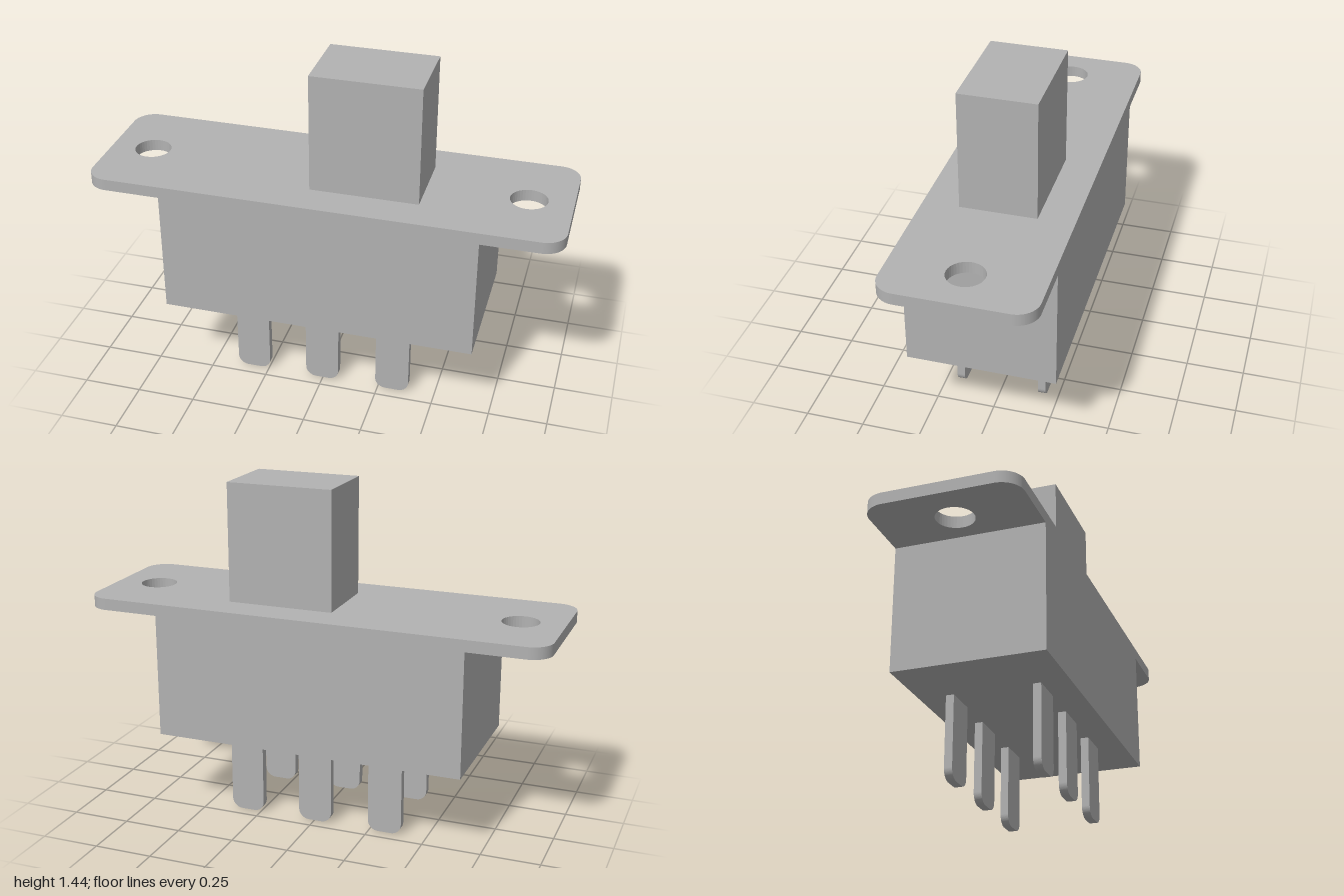
import * as THREE from 'three';

const grey = new THREE.MeshStandardMaterial({ color: 0xb2b2b2 });
grey.name = 'plain grey';

// Box given by its lower and upper limits on each axis
function block(name, [x0, x1], [y0, y1], [z0, z1]) {
  const mesh = new THREE.Mesh(new THREE.BoxGeometry(x1 - x0, y1 - y0, z1 - z0), grey);
  mesh.position.set((x0 + x1) / 2, (y0 + y1) / 2, (z0 + z1) / 2);
  mesh.name = name;
  return mesh;
}

// Mounting plate with rounded corners and two screw holes
function mountingPlate() {
  const w = 1, d = 0.313, r = 0.09, thickness = 0.05;
  const shape = new THREE.Shape();
  shape.absarc(w - r, d - r, r, 0, Math.PI / 2);
  shape.absarc(-w + r, d - r, r, Math.PI / 2, Math.PI);
  shape.absarc(-w + r, -d + r, r, Math.PI, Math.PI * 1.5);
  shape.absarc(w - r, -d + r, r, Math.PI * 1.5, Math.PI * 2);
  shape.closePath();
  for (const side of [-1, 1]) {
    const hole = new THREE.Path();
    hole.absarc(side * 0.817, 0, 0.078, 0, Math.PI * 2, true);
    shape.holes.push(hole);
  }
  const geometry = new THREE.ExtrudeGeometry(shape, { depth: thickness, bevelEnabled: false, curveSegments: 20 });
  geometry.rotateX(-Math.PI / 2);
  const mesh = new THREE.Mesh(geometry, grey);
  mesh.position.y = 0.88;
  mesh.name = 'mountingPlate';
  return mesh;
}

// Flat terminal pin, rounded at its two lower corners
function pinGeometry() {
  const h = 0.0735, r = 0.045, top = 0.36, thickness = 0.034;
  const shape = new THREE.Shape();
  shape.moveTo(h, top);
  shape.lineTo(-h, top);
  shape.absarc(-h + r, r, r, Math.PI, Math.PI * 1.5);
  shape.absarc(h - r, r, r, Math.PI * 1.5, Math.PI * 2);
  shape.closePath();
  const geometry = new THREE.ExtrudeGeometry(shape, { depth: thickness, bevelEnabled: false, curveSegments: 12 });
  return geometry.translate(0, 0, -thickness / 2);
}

export function createModel() {
  const model = new THREE.Group();
  model.name = 'slideSwitch';
  model.add(
    block('housing', [-0.672, 0.67], [0.346, 0.88], [-0.313, 0.313]),
    mountingPlate(),
    block('sliderKnob', [-0.064, 0.396], [0.93, 1.44], [-0.161, 0.161])
  );

  // Two rows of three terminal pins
  const pins = new THREE.Group();
  pins.name = 'terminalPins';
  const geometry = pinGeometry();
  for (const z of [-0.181, 0.181]) {
    for (const x of [-0.318, -0.003, 0.312]) {
      const pin = new THREE.Mesh(geometry, grey);
      pin.position.set(x, 0, z);
      pin.name = 'terminalPin';
      pins.add(pin);
    }
  }
  model.add(pins);
  return model;
}
